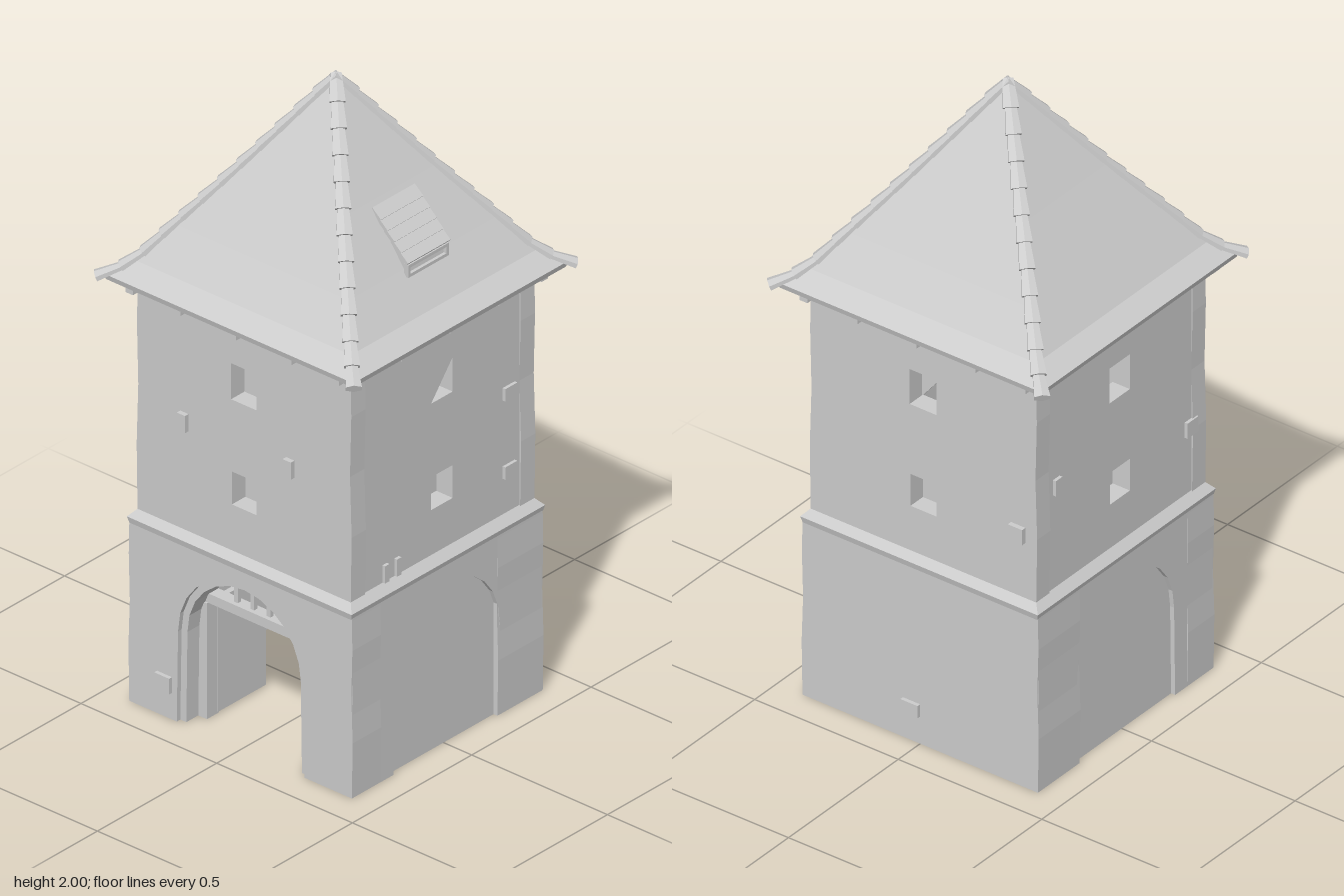
import * as THREE from 'three';

const stone = new THREE.MeshStandardMaterial({ color: 0xcccccc });
stone.name = 'pale stone grey';
stone.flatShading = true;

function add(parent, name, geo, x = 0, y = 0, z = 0) {
  const m = new THREE.Mesh(geo, stone);
  m.name = name;
  m.position.set(x, y, z);
  parent.add(m);
  return m;
}
const box = (parent, name, w, h, d, x, y, z) =>
  add(parent, name, new THREE.BoxGeometry(w, h, d), x, y, z);

// Four-sided ring from a (half width, height) profile
function squareLathe(profile) {
  const pts = profile.map(([r, y]) => new THREE.Vector2(r * Math.SQRT2, y));
  const g = new THREE.LatheGeometry(pts, 4, Math.PI / 4).toNonIndexed();
  g.computeVertexNormals();
  return g;
}

const poly = pts => pts.map(p => new THREE.Vector2(...p));

// Arch outline: straight jambs below a round head
function archPoints(half, spring, top, bottom = 0) {
  const pts = [[half, bottom]];
  for (let i = 0; i <= 12; i++) {
    const a = Math.PI * i / 12;
    pts.push([half * 0.98 * Math.cos(a), spring + (top - spring) * Math.sin(a)]);
  }
  pts.push([-half, bottom]);
  return pts;
}

// Wall slab with slightly uneven vertical edges; outer face lies at z = dist
function wall(parent, name, half, y0, y1, dist, depth, { arch, holes = [], uneven = 0 }) {
  const edge = [0, 0.3, 0.55, 0.8, 1].map((t, i) =>
    [half + uneven * [0.4, 1, 0, 0.8, 0.3][i], y0 + (y1 - y0) * t]);
  const pts = [...edge, ...edge.map(([x, y]) => [-x, y]).reverse()];
  if (arch) pts.push(...archPoints(...arch).reverse());
  const shape = new THREE.Shape(poly(pts));
  holes.forEach(h => shape.holes.push(new THREE.Path(poly(h))));
  const g = new THREE.ExtrudeGeometry(shape, { depth, bevelEnabled: false });
  return add(parent, name, g, 0, 0, dist - depth);
}

const rect = (x0, x1, y0, y1) => [[x0, y0], [x1, y0], [x1, y1], [x0, y1]];

export function createModel() {
  const tower = new THREE.Group();
  tower.name = 'gateTower';
  const names = ['front', 'left', 'back', 'right'];
  const sides = names.map((n, i) => {
    const g = new THREE.Group();
    g.name = n + 'Side';
    g.rotation.y = i * Math.PI / 2;
    tower.add(g);
    return g;
  });

  // Small projecting stones per side: x, y, width, height
  const blocks = [
    [[-0.28, 0.11, 0.055, 0.05], [0.17, 0.96, 0.03, 0.055], [-0.22, 0.96, 0.03, 0.055]],
    [[0.28, 1.0, 0.05, 0.04], [0.28, 0.75, 0.05, 0.04], [-0.24, 0.645, 0.018, 0.055], [-0.19, 0.645, 0.018, 0.055]],
    [[-0.03, 0.11, 0.06, 0.04], [0.33, 0.82, 0.05, 0.05]],
    [[-0.29, 0.95, 0.03, 0.05], [0.32, 0.83, 0.05, 0.05]]
  ];

  sides.forEach((s, i) => {
    const onX = i % 2 === 1;
    const outer = onX ? 0.41 : 0.4;

    // Lower storey
    if (onX) {
      wall(s, 'baseWall', 0.395, 0, 0.59, outer, 0.03, { arch: [0.225, 0.29, 0.52] });
      add(s, 'blindArch', new THREE.ExtrudeGeometry(
        new THREE.Shape(poly(archPoints(0.228, 0.29, 0.523))), { depth: 0.012, bevelEnabled: false }), 0, 0, outer - 0.026);
    } else if (i === 0) {
      wall(s, 'gateWall', 0.408, 0, 0.59, outer, 0.12, { arch: [0.235, 0.29, 0.525], uneven: 0.005 });
    } else {
      wall(s, 'baseWall', 0.408, 0, 0.59, outer, 0.19, { uneven: 0.005 });
    }

    // Upper storeys with window openings
    const low = rect(-0.045, 0.045, 0.76, 0.865);
    const high = i === 1
      ? [[-0.045, 1.1], [0.045, 1.1], [0.045, 1.21]]
      : rect(-0.048, 0.045, 1.095, 1.21);
    wall(s, 'upperWall', onX ? 0.33 : 0.39, 0.59, 1.36, onX ? 0.39 : 0.385, 0.06,
      { holes: [low, high], uneven: onX ? 0 : 0.006 });
    box(s, 'lowerWindowBack', 0.11, 0.13, 0.008, 0, 0.812, 0.325);
    if (i === 0) box(s, 'upperWindowBack', 0.11, 0.13, 0.008, 0, 1.152, 0.325);
    if (i === 2) add(s, 'upperWindowBack', new THREE.ExtrudeGeometry(
      new THREE.Shape(poly([[-0.05, 1.09], [0.05, 1.215], [-0.05, 1.215]])),
      { depth: 0.008, bevelEnabled: false }), 0, 0, 0.32);

    blocks[i].forEach(([x, y, w, h]) =>
      box(s, 'projectingStone', w, h, 0.03, x, y, y < 0.58 ? outer - 0.003 : 0.385));

    // Rafter ends under the eaves
    [-0.38, -0.205, 0, 0.205, 0.38].forEach(x =>
      box(s, 'rafterEnd', 0.028, 0.035, 0.09, x, 1.345, 0.39));
  });

  // Sloping ledge between storeys
  add(tower, 'ledge', squareLathe([[0.409, 0.57], [0.414, 0.59], [0.385, 0.622]])).scale.z = 0.98;

  // Gate: arch trim, frame, grille and open leaves
  const front = sides[0];
  const trim = new THREE.Shape(poly(archPoints(0.238, 0.29, 0.528)
    .concat(archPoints(0.213, 0.29, 0.503).reverse())));
  add(front, 'archTrim', new THREE.ExtrudeGeometry(trim, { depth: 0.09, bevelEnabled: false }), 0, 0, 0.295);
  box(front, 'gateLintel', 0.42, 0.03, 0.04, 0, 0.385, 0.31);
  for (const sgn of [-1, 1]) {
    box(front, 'gateJamb', 0.032, 0.37, 0.05, sgn * 0.197, 0.185, 0.31);
    box(front, 'gateLeaf', 0.018, 0.36, 0.2, sgn * 0.188, 0.185, 0.19);
  }
  for (const x of [-0.09, -0.03, 0.03, 0.09])
    box(front, 'grilleBar', 0.014, 0.12, 0.014, x, 0.45, 0.31);

  // Flared roof
  const slope = [[0.46, 1.368], [0.4, 1.41], [0.32, 1.52], [0.2, 1.69], [0, 1.985]];
  add(tower, 'roof', squareLathe([[0.37, 1.362], [0.455, 1.35], ...slope])).scale.z = 0.98;

  // Overlapping ridge tiles on the four hips
  const path = [[0.468, 1.363], ...slope.slice(1)].reverse()
    .map(([r, y]) => new THREE.Vector3(0, y, r * Math.SQRT2));
  const stops = new THREE.CatmullRomCurve3(path, false, 'centripetal').getSpacedPoints(12);
  for (let k = 0; k < 4; k++) {
    const hip = new THREE.Group();
    hip.name = 'hipTiles';
    // The roof is a little shallower in z than in x
    hip.rotation.y = Math.atan2(k < 2 ? 1 : -1, k % 2 ? 0.98 : -0.98);
    for (let i = 0; i < 12; i++) {
      const a = stops[i], b = stops[i + 1];
      const len = a.distanceTo(b);
      const g = new THREE.CylinderGeometry(0.026, 0.018, len * 1.1, 6);
      g.rotateX(Math.PI / 2).scale(1, 0.55, 1);
      const t = add(hip, 'ridgeTile', g, 0, (a.y + b.y) / 2, (a.z + b.z) / 2);
      t.rotation.x = Math.atan2(a.y - b.y, b.z - a.z) - 0.04;
    }
    tower.add(hip);
  }
  add(tower, 'roofTip', new THREE.ConeGeometry(0.022, 0.04, 4), 0, 1.98, 0);

  // Dormer with a slatted lid
  const dormer = new THREE.Group();
  dormer.name = 'dormer';
  sides[1].add(dormer);
  const body = new THREE.ExtrudeGeometry(new THREE.Shape(poly(
    [[0.2, 1.5], [0.333, 1.5], [0.325, 1.55], [0.21, 1.665]])), { depth: 0.16, bevelEnabled: false });
  body.rotateY(-Math.PI / 2);
  add(dormer, 'dormerBody', body, 0.08, 0, 0);
  for (let i = 0; i < 5; i++)
    box(dormer, 'dormerSlat', 0.178, 0.012, 0.042, 0, 1.66 - i * 0.0255, 0.224 + i * 0.025).rotation.x = 0.7;
  for (const y of [1.505, 1.535]) box(dormer, 'dormerFrame', 0.17, 0.01, 0.016, 0, y, 0.333);
  for (const x of [-0.08, 0.08]) box(dormer, 'dormerFrame', 0.01, 0.04, 0.016, x, 1.52, 0.333);

  return tower;
}
